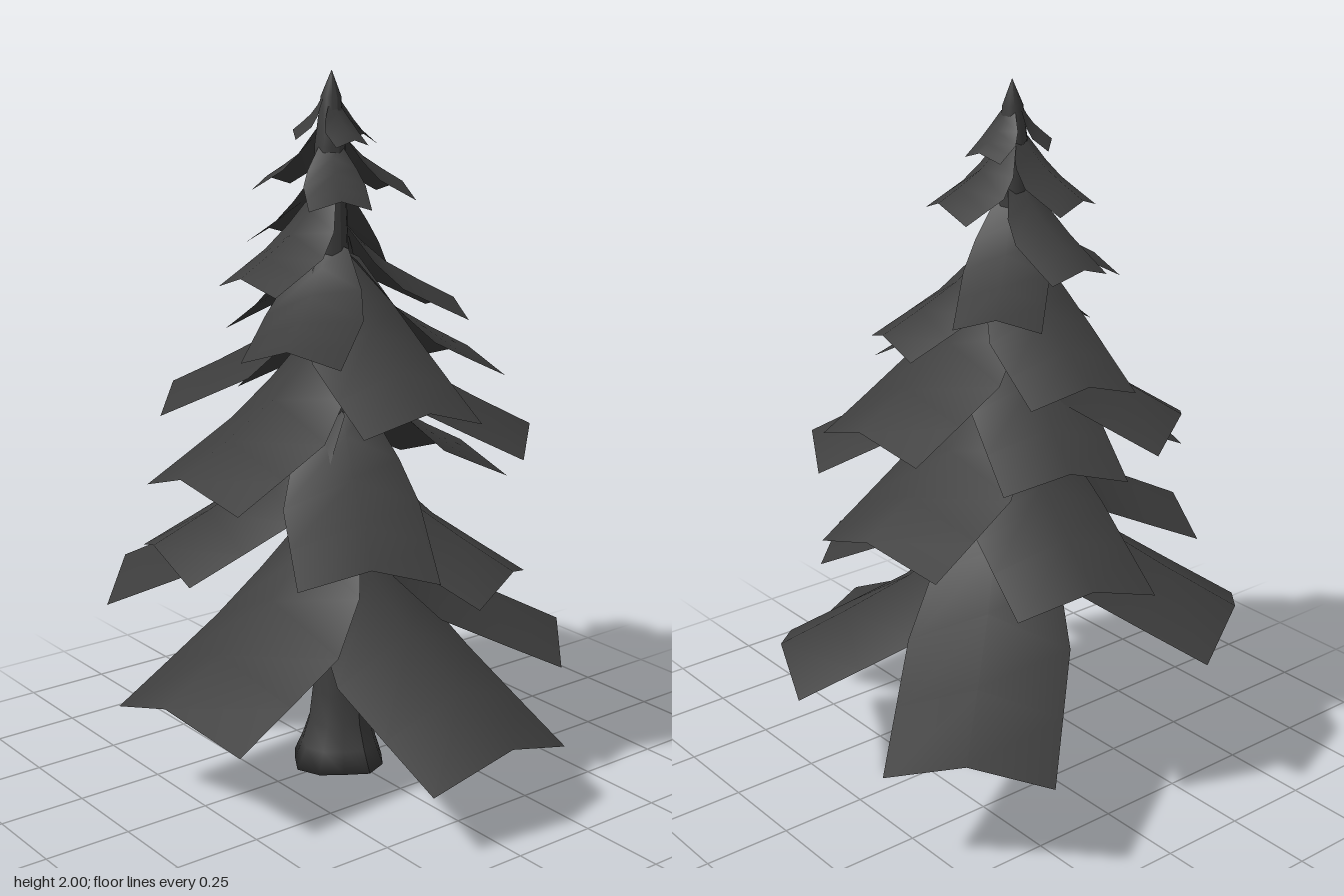
import * as THREE from 'three';

const bark = new THREE.MeshStandardMaterial({ color: 0x3c3c3c });
const needles = new THREE.MeshStandardMaterial({ color: 0x3c3c3c, side: THREE.DoubleSide });

// Trunk axis: a slight lean towards the back
const axisX = (y) => 0.016 * Math.sin(y * 3) - 0.01;
const axisZ = (y) => -0.028 - 0.01 * y;

function createTrunk() {
  const profile = [[0, 0], [0.14, 0], [0.115, 0.06], [0.093, 0.13], [0.082, 0.22], [0.08, 0.4], [0.07, 0.7],
    [0.06, 1.1], [0.052, 1.5], [0.042, 1.8], [0.028, 1.93], [0, 2]].map(([r, y]) => new THREE.Vector2(r, y));
  const geometry = new THREE.LatheGeometry(profile, 12);
  const p = geometry.attributes.position;
  for (let i = 0; i < p.count; i++) {
    const x = p.getX(i), y = p.getY(i), z = p.getZ(i);
    // Root lobes fade out above the flare
    const lobe = 1 + 0.09 * Math.max(0, 1 - y / 0.2) * Math.cos(4 * Math.atan2(z, x) + 0.6);
    p.setXYZ(i, x * lobe + axisX(y), y, z * lobe + axisZ(y));
  }
  geometry.computeVertexNormals();
  const trunk = new THREE.Mesh(geometry, bark);
  trunk.name = 'trunk';
  return trunk;
}

// Bough cross-sections from trunk to end: fraction of reach, of height, of width, and fold depth
const sections = [[0, 1, 0.4, 0.45], [0.18, 0.72, 0.8, 0.5], [0.4, 0.46, 1, 0.45], [0.7, 0.22, 1, 0.37], [1, 0, 1, 0.32]];

// A drooping sheet folded along its spine; (x, y, z) is the middle of its outer edge
function createBough([x, y, z, halfWidth]) {
  const root = 0.02;
  const cx = axisX(y), cz = axisZ(y);
  const reach = Math.hypot(x - cx, z - cz);
  const dx = (x - cx) / reach, dz = (z - cz) / reach;
  const height = Math.min(0.6 * reach + 0.03, 1.98 - y);
  const positions = [], index = [];
  for (const [t, rise, spread, fold] of sections) {
    const width = halfWidth * spread;
    for (const side of [-1, 0, 1]) {
      const r = root + (reach - root) * t - Math.abs(side) * halfWidth * 0.17 * t;
      const w = side * width;
      positions.push(cx + dx * r + dz * w, y + height * rise - Math.abs(w) * fold, cz + dz * r - dx * w);
    }
  }
  for (let i = 0; i < sections.length - 1; i++) {
    for (let j = 0; j < 2; j++) {
      const a = i * 3 + j, b = a + 3;
      index.push(a, b, a + 1, b, b + 1, a + 1);
    }
  }
  const geometry = new THREE.BufferGeometry();
  geometry.setAttribute('position', new THREE.Float32BufferAttribute(positions, 3));
  geometry.setIndex(index);
  geometry.computeVertexNormals();
  return new THREE.Mesh(geometry, needles);
}

// Bough ends per tier: x, y, z, half width
const tiers = {
  bottomBoughs: [
    [0.03, 0.27, 0.68, 0.245], [0.54, 0.38, -0.545, 0.225], [-0.39, 0.56, -0.58, 0.23],
    [-0.665, 0.36, 0.07, 0.245], [0.56, 0.4, 0.29, 0.215]],
  lowerBoughs: [
    [0.25, 0.65, 0.43, 0.18], [0.54, 0.86, -0.13, 0.21], [0.15, 0.77, -0.585, 0.2],
    [-0.54, 0.73, -0.17, 0.2], [-0.25, 0.76, 0.43, 0.19]],
  middleBoughs: [
    [0.42, 1.02, 0.3, 0.18], [0.17, 1.08, -0.51, 0.17], [-0.555, 0.96, 0, 0.2],
    [-0.3, 1.11, -0.43, 0.18], [-0.11, 1.17, 0.49, 0.175], [0.535, 1.16, -0.1, 0.18]],
  upperBoughs: [
    [0.07, 1.28, -0.465, 0.155], [-0.32, 1.3, 0.16, 0.14], [0.355, 1.35, 0.04, 0.13],
    [-0.34, 1.47, -0.02, 0.12], [0.24, 1.45, -0.295, 0.115], [-0.03, 1.54, -0.325, 0.095]],
  topBoughs: [
    [0.195, 1.69, 0, 0.12], [-0.11, 1.67, 0.12, 0.085], [-0.09, 1.7, -0.25, 0.09],
    [0.105, 1.82, -0.06, 0.065], [-0.02, 1.82, 0.06, 0.055], [-0.1, 1.84, -0.11, 0.065]],
};

export function createModel() {
  const tree = new THREE.Group();
  tree.name = 'firTree';
  tree.add(createTrunk());
  for (const [name, boughs] of Object.entries(tiers)) {
    const tier = new THREE.Group();
    tier.name = name;
    for (const bough of boughs) {
      const mesh = createBough(bough);
      mesh.name = 'bough';
      tier.add(mesh);
    }
    tree.add(tier);
  }
  return tree;
}
